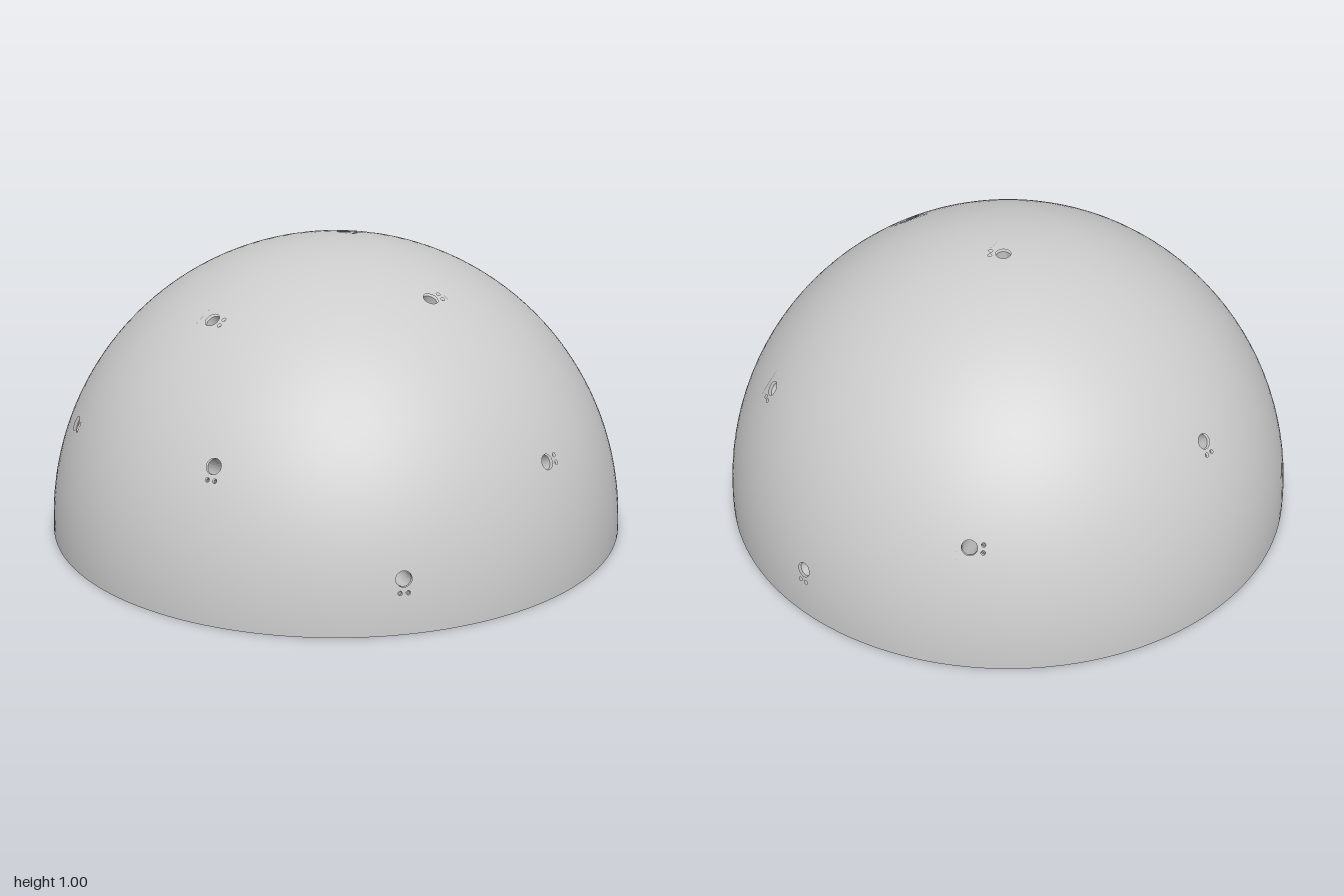
import * as THREE from 'three';

const D = Math.PI / 180, STEP = 2.5 * D, ROWS = 36, COLS = 144;

// Ports: [angle around y from +z, height on unit dome, pin direction]
const PORTS = [
  [180, 0.993, 'back'], [-30, 0.82, 'side'], [52.6, 0.878, 'side'],
  [-11.2, 0.47, 'down'], [116, 0.56, 'down'], [236, 0.555, 'down'],
  [-60, 0.417, 'side'], [60, 0.417, 'side'], [180, 0.415, 'side'],
  [25.2, 0.175, 'down'], [145.5, 0.175, 'down'], [265, 0.175, 'down'],
];
// Openings in each port: [u, v, radius, sides]
const OPENINGS = [[0, 0, 0.025, 20], [0.043, 0.0125, 0.007, 10], [0.043, -0.0125, 0.007, 10]];

const circle = ([u, v, r, n]) => Array.from({ length: n }, (_, i) => {
  const a = (i / n) * Math.PI * 2;
  return new THREE.Vector2(u + r * Math.cos(a), v + r * Math.sin(a));
});

const onSphere = (r, t, f) => new THREE.Vector3(
  r * Math.sin(t) * Math.sin(f), r * Math.cos(t), r * Math.sin(t) * Math.cos(f));

// Local frame of a port: p towards the pins, n outwards
function frame([deg, h, dir]) {
  const f = deg * D, t = Math.acos(h);
  const n = onSphere(1, t, f);
  const p = dir === 'down' ? onSphere(1, t + Math.PI / 2, f)
    : new THREE.Vector3(Math.cos(f), 0, -Math.sin(f)).multiplyScalar(dir === 'side' ? 1 : -1);
  return { f, n, p, q: n.clone().cross(p) };
}

// Half sphere skin with true openings; sign is +1 facing out, -1 facing in
function domeSkin(r, sign) {
  const pos = [], nor = [], skip = new Set();
  const e1 = new THREE.Vector3(), e2 = new THREE.Vector3();
  const tri = (a, b, c) => {
    e1.subVectors(b, a); e2.subVectors(c, a);
    const flip = e1.cross(e2).dot(a) * sign < 0;
    for (const v of flip ? [a, c, b] : [a, b, c]) {
      pos.push(v.x, v.y, v.z);
      nor.push(sign * v.x / r, sign * v.y / r, sign * v.z / r);
    }
  };
  const flat = (v) => {
    const t = Math.acos(v.y / r), f = Math.atan2(v.x, v.z);
    return new THREE.Vector2(t * Math.sin(f), t * Math.cos(f));
  };

  // Patches around the ports
  for (const port of PORTS) {
    const { f, n, p, q } = frame(port);
    const holes = OPENINGS.map((o) => circle(o).map((c) => new THREE.Vector3()
      .addScaledVector(p, c.x).addScaledVector(q, c.y)
      .addScaledVector(n, Math.sqrt(r * r - c.lengthSq()))));
    const ts = [], fs = [];
    for (const v of holes.flat()) {
      ts.push(Math.acos(v.y / r) / STEP);
      const d = Math.atan2(v.x, v.z) - f;
      fs.push((f + Math.atan2(Math.sin(d), Math.cos(d))) / STEP);
    }
    const i0 = Math.floor(Math.min(...ts) - 0.3), i1 = Math.ceil(Math.max(...ts) + 0.3);
    const j0 = Math.floor(Math.min(...fs) - 0.3), j1 = Math.ceil(Math.max(...fs) + 0.3);
    for (let i = i0; i < i1; i++)
      for (let j = j0; j < j1; j++) skip.add(i * COLS + (j + 2 * COLS) % COLS);
    const edge = [], at = (i, j) => edge.push(onSphere(r, i * STEP, j * STEP));
    for (let j = j0; j < j1; j++) at(i0, j);
    for (let i = i0; i < i1; i++) at(i, j1);
    for (let j = j1; j > j0; j--) at(i1, j);
    for (let i = i1; i > i0; i--) at(i, j0);
    const all = [...edge, ...holes.flat()];
    const faces = THREE.ShapeUtils.triangulateShape(edge.map(flat), holes.map((h) => h.map(flat)));
    for (const [a, b, c] of faces) tri(all[a], all[b], all[c]);
  }

  // Regular grid everywhere else
  for (let i = 0; i < ROWS; i++) {
    for (let j = 0; j < COLS; j++) {
      if (skip.has(i * COLS + j)) continue;
      const [a, b, c, d] = [[i, j], [i + 1, j], [i + 1, j + 1], [i, j + 1]]
        .map(([s, t]) => onSphere(r, s * STEP, t * STEP));
      tri(a, b, c);
      if (i > 0) tri(a, c, d);
    }
  }
  const g = new THREE.BufferGeometry();
  g.setAttribute('position', new THREE.Float32BufferAttribute(pos, 3));
  g.setAttribute('normal', new THREE.Float32BufferAttribute(nor, 3));
  return g;
}

export function createModel() {
  const model = new THREE.Group();
  const grey = new THREE.MeshStandardMaterial({ color: 0xcccccc, side: THREE.DoubleSide });
  grey.name = 'plain grey';
  const add = (name, geometry) => {
    const mesh = new THREE.Mesh(geometry, grey);
    mesh.name = name;
    model.add(mesh);
    return mesh;
  };

  // Thin shell
  add('outerDome', domeSkin(1, 1));
  add('innerDome', domeSkin(0.967, -1));

  // Base flange reaching inwards past the shell, with four small locating holes
  const rim = new THREE.Shape(circle([0, 0, 0.998, COLS]));
  rim.holes.push(new THREE.Path(circle([0, 0, 0.9, COLS])));
  for (let k = 0; k < 4; k++) {
    const a = (45 + 90 * k) * D;
    rim.holes.push(new THREE.Path(circle([0.935 * Math.cos(a), 0.935 * Math.sin(a), 0.009, 12])));
  }
  const rimGeometry = new THREE.ExtrudeGeometry(rim, { depth: 0.04, bevelEnabled: false });
  add('baseFlange', rimGeometry.rotateX(-Math.PI / 2));

  // Round bosses inside the shell, carrying each port's bores
  const section = new THREE.Shape(circle([0, 0, 0.066, 40]));
  for (const o of OPENINGS) section.holes.push(new THREE.Path(circle(o)));
  const boss = new THREE.ExtrudeGeometry(section, { depth: 0.17, bevelEnabled: false });
  boss.translate(0, 0, 0.82);
  for (const port of PORTS) {
    const { n, p, q } = frame(port);
    add('portBoss', boss).quaternion.setFromRotationMatrix(new THREE.Matrix4().makeBasis(p, q, n));
  }
  return model;
}
